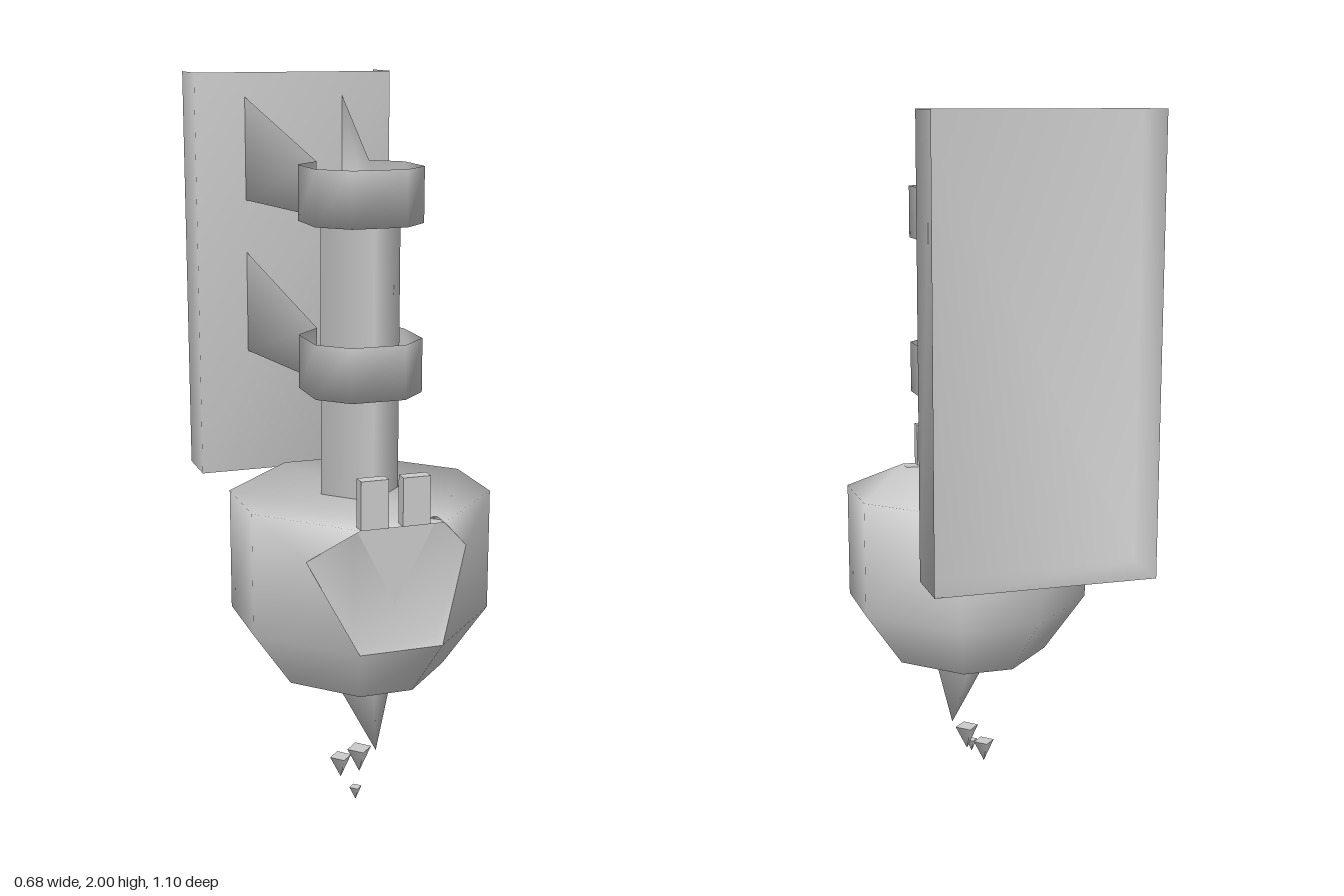
import * as THREE from 'three';
import { mergeVertices } from 'three/addons/utils/BufferGeometryUtils.js';

const material = new THREE.MeshStandardMaterial({ color: 0xcccccc, side: THREE.DoubleSide });
const AXIS_Z = 0.205; // z of the vertical axis shared by post, sockets and body

// Smooth mesh from polygons; each polygon is fanned from its first corner
function polyMesh(name, faces) {
  const pos = [];
  for (const f of faces)
    for (let i = 1; i < f.length - 1; i++) pos.push(...f[0], ...f[i], ...f[i + 1]);
  let g = new THREE.BufferGeometry();
  g.setAttribute('position', new THREE.Float32BufferAttribute(pos, 3));
  g = mergeVertices(g, 1e-4);
  g.computeVertexNormals();
  return named(name, g);
}

function named(name, geometry) {
  const m = new THREE.Mesh(geometry, material);
  m.name = name;
  return m;
}

// Chamfered-square loop around the axis, counterclockwise from above, starting at the front
function octagon(r, c, y) {
  return [[c, r], [r, c], [r, -c], [c, -r], [-c, -r], [-r, -c], [-r, c], [-c, r]]
    .map(([x, z]) => [x, y, z + AXIS_Z]);
}

const wall = (lo, hi, i, j) => [lo[i], lo[j], hi[j], hi[i]];

// Folded wall plate, open at the top and back
function wallPlate() {
  const X = 0.3, F = -0.4, B = -0.55, lo = 0.8, hi = 2;
  const path = [[-X, B], [-X, F], [X, F], [X, B]];
  const bottom = path.map(([x, z]) => [x, lo, z]);
  const top = path.map(([x, z]) => [x, hi, z]);
  const faces = [0, 1, 2].map(i => wall(bottom, top, i, i + 1));
  faces.push([...bottom].reverse());
  return polyMesh('wallPlate', faces);
}

// Tray-like arm: floor plus one continuous wall around the socket, rising towards the plate
function arm(name, y) {
  const half = [[-0.15, -0.4], [-0.075, 0.055], [-0.15, 0.13], [-0.15, 0.28], [-0.075, 0.355]];
  const path = [...half, ...half.map(([x, z]) => [-x, z]).reverse()];
  const lo = path.map(([x, z]) => [x, y, z]);
  const hi = path.map(([x, z]) => [x, y + (z < -0.3 ? 0.3 : 0.148), z]);
  const faces = [];
  for (let i = 0; i < path.length - 1; i++) faces.push(wall(lo, hi, i, i + 1));
  faces.push([lo[0], lo[9], lo[8], lo[1]], lo.slice(1, 9).reverse());
  return polyMesh(name, faces);
}

// Faceted body with a notched front opening and an open underside
function body() {
  const U = octagon(0.34, 0.115, 0.89);
  const M = octagon(0.34, 0.115, 0.55);
  const L = octagon(0.225, 0.075, 0.38);
  const right = [0.225, 0.78, 0.43], left = [-0.225, 0.78, 0.43];
  const faces = [U];
  for (let i = 0; i < 8; i++) {
    const j = (i + 1) % 8;
    faces.push(wall(L, M, i, j));
    if (i > 0 && i < 6) faces.push(wall(M, U, i, j));
  }
  faces.push([right, M[0], M[1], U[1], U[0]], [left, U[7], U[6], M[6], M[7]]);
  return polyMesh('body', faces);
}

// Recessed panel filling the front opening, joined to its rim
function recess() {
  const w = 0.115, Z = 0.49, rim = 0.545;
  const mid = s => [0.225 * s, 0.78, 0.43];
  const p = (s, y, z) => [w * s, y, z];
  const outer = [p(-1, 0.55, rim), p(1, 0.55, rim), mid(1), p(1, 0.89, rim), p(-1, 0.89, rim), mid(-1)];
  const inner = [p(-1, 0.55, Z), p(1, 0.55, Z), mid(1), p(1, 0.89, Z), p(-1, 0.89, Z), mid(-1)];
  const faces = [
    [inner[0], inner[1], inner[3], inner[4]],
    [inner[1], inner[2], inner[3]],
    [inner[0], inner[4], inner[5]],
  ];
  for (let i = 0; i < 6; i++) faces.push(wall(outer, inner, i, (i + 1) % 6));
  return polyMesh('frontRecess', faces);
}

// Downward four-sided point
function drop(name, r, yTop, yTip, x, z) {
  const g = new THREE.ConeGeometry(r, yTop - yTip, 4);
  g.rotateX(Math.PI);
  g.translate(x, (yTop + yTip) / 2, z);
  return named(name, g);
}

export function createModel() {
  const model = new THREE.Group();
  model.name = 'wallMountedFixture';

  model.add(wallPlate(), arm('upperArm', 1.63), arm('lowerArm', 1.175));

  // Square post set corner-on
  const post = named('post', new THREE.CylinderGeometry(0.112, 0.112, 0.75, 4, 1, true));
  post.position.set(0, 1.26, AXIS_Z);
  model.add(post);

  model.add(body(), recess());

  // Triangular tooth in the opening
  model.add(polyMesh('tooth', [[[-0.115, 0.888, 0.493], [0, 0.66, 0.493], [0.115, 0.888, 0.493]]]));

  // Two upright tabs at the front rim
  for (const x of [-0.077, 0.037]) {
    const tab = named('tab', new THREE.BoxGeometry(0.075, 0.13, 0.035));
    tab.position.set(x, 0.955, 0.528);
    model.add(tab);
  }

  // Spike under the body, its tip slightly off the axis
  const tip = [0.037, 0.122, 0.247];
  const base = [[0, 0.18], [0.18, 0], [0, -0.18], [-0.18, 0]].map(([x, z]) => [x - 0.02, 0.58, z + 0.19]);
  const spike = [0, 1, 2, 3].map(i => [tip, base[(i + 1) % 4], base[i]]);
  spike.push(base);
  model.add(polyMesh('spike', spike));

  // Falling drops
  model.add(
    drop('drop', 0.036, 0.118, 0.045, 0, 0.21),
    drop('drop', 0.032, 0.08, 0.015, -0.043, 0.17),
    drop('drop', 0.018, 0.038, 0, -0.037, 0.285),
  );
  return model;
}
